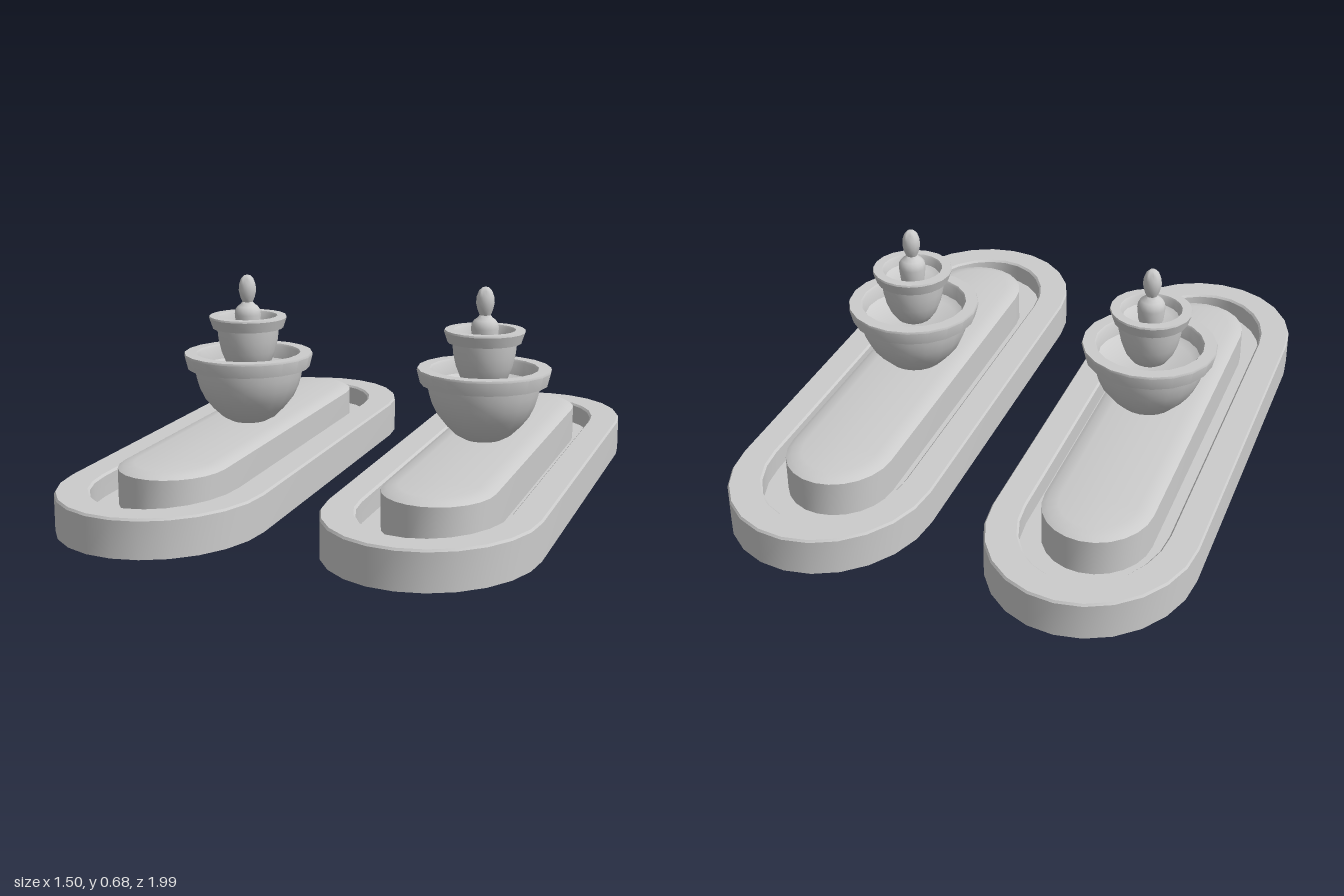
import * as THREE from 'three';
import { toCreasedNormals } from 'three/addons/utils/BufferGeometryUtils.js';

const material = new THREE.MeshStandardMaterial({ color: 0xcccccc, side: THREE.DoubleSide });

function part(name, geometry, crease = 0.6) {
  const mesh = new THREE.Mesh(toCreasedNormals(geometry, crease), material);
  mesh.name = name;
  return mesh;
}

// Skin through stacked oval rings with straight long sides.
// Each section: [half width, half length, length of the rounded end, y]
function ovalLoft(sections, segments = 12) {
  const positions = [], indices = [];
  const count = 2 * (segments + 1);
  for (const [w, l, r, y] of sections) {
    for (const side of [1, -1]) {
      for (let i = 0; i <= segments; i++) {
        const a = (i / segments) * Math.PI;
        positions.push(side * w * Math.cos(a), y, side * (l - r + r * Math.sin(a)));
      }
    }
  }
  for (let s = 0; s < sections.length - 1; s++) {
    for (let i = 0; i < count; i++) {
      const j = (i + 1) % count;
      const a = s * count + i, b = s * count + j;
      indices.push(a, a + count, b, b, a + count, b + count);
    }
  }
  const geometry = new THREE.BufferGeometry();
  geometry.setAttribute('position', new THREE.Float32BufferAttribute(positions, 3));
  geometry.setIndex(indices);
  return geometry;
}

function turned(points, segments = 20) {
  return new THREE.LatheGeometry(points.map(([r, y]) => new THREE.Vector2(r, y)), segments);
}

function createFountain() {
  const fountain = new THREE.Group();
  fountain.name = 'fountain';

  // Basin: outer wall, rim, inner wall and floor, open underneath
  fountain.add(part('basin', ovalLoft([
    [0.325, 0.995, 0.37, 0], [0.325, 0.995, 0.37, 0.115], [0.32, 0.99, 0.365, 0.122],
    [0.232, 0.9, 0.305, 0.122], [0.226, 0.893, 0.3, 0.115],
    [0.226, 0.893, 0.3, 0.05], [0, 0.593, 0, 0.05],
  ])));

  // Raised plinth with a softened top edge
  const plinth = part('plinth', ovalLoft([
    [0.171, 0.755, 0.19, 0.05], [0.171, 0.755, 0.19, 0.165],
    [0.155, 0.738, 0.175, 0.174], [0.12, 0.705, 0.14, 0.18], [0, 0.565, 0, 0.18],
  ]));
  plinth.position.z = -0.01;
  fountain.add(plinth);

  // Bowls and finial share one axis
  const tiers = new THREE.Group();
  tiers.name = 'tiers';
  tiers.position.set(-0.013, 0, -0.012);
  tiers.add(part('lowerBowl', turned([
    [0, 0.172], [0.055, 0.176], [0.092, 0.196], [0.125, 0.228], [0.152, 0.262],
    [0.17, 0.3], [0.18, 0.335], [0.184, 0.365],
    [0.208, 0.365], [0.219, 0.408], [0.217, 0.415], [0.177, 0.415], [0.172, 0.408],
    [0.165, 0.365], [0.14, 0.35], [0, 0.35],
  ])));
  tiers.add(part('upperBowl', turned([
    [0, 0.335], [0.03, 0.338], [0.058, 0.357], [0.078, 0.385], [0.092, 0.42],
    [0.101, 0.46], [0.105, 0.5],
    [0.12, 0.5], [0.132, 0.535], [0.13, 0.541], [0.1, 0.541], [0.096, 0.535],
    [0.09, 0.51], [0.07, 0.5], [0, 0.5],
  ])));
  tiers.add(part('finial', turned([
    [0.04, 0.5], [0.045, 0.545], [0.043, 0.56], [0.035, 0.572], [0.024, 0.58], [0.018, 0.588],
    [0.025, 0.605], [0.03, 0.627], [0.028, 0.648], [0.021, 0.667], [0.011, 0.677], [0, 0.68],
  ], 14), 0.9));
  fountain.add(tiers);
  return fountain;
}

export function createModel() {
  const model = new THREE.Group();
  model.name = 'fountainPair';
  for (const side of [1, -1]) {
    const fountain = createFountain();
    fountain.name = side > 0 ? 'leftFountain' : 'rightFountain';
    fountain.position.x = side * 0.426;
    fountain.getObjectByName('tiers').position.x *= side;
    model.add(fountain);
  }
  return model;
}
